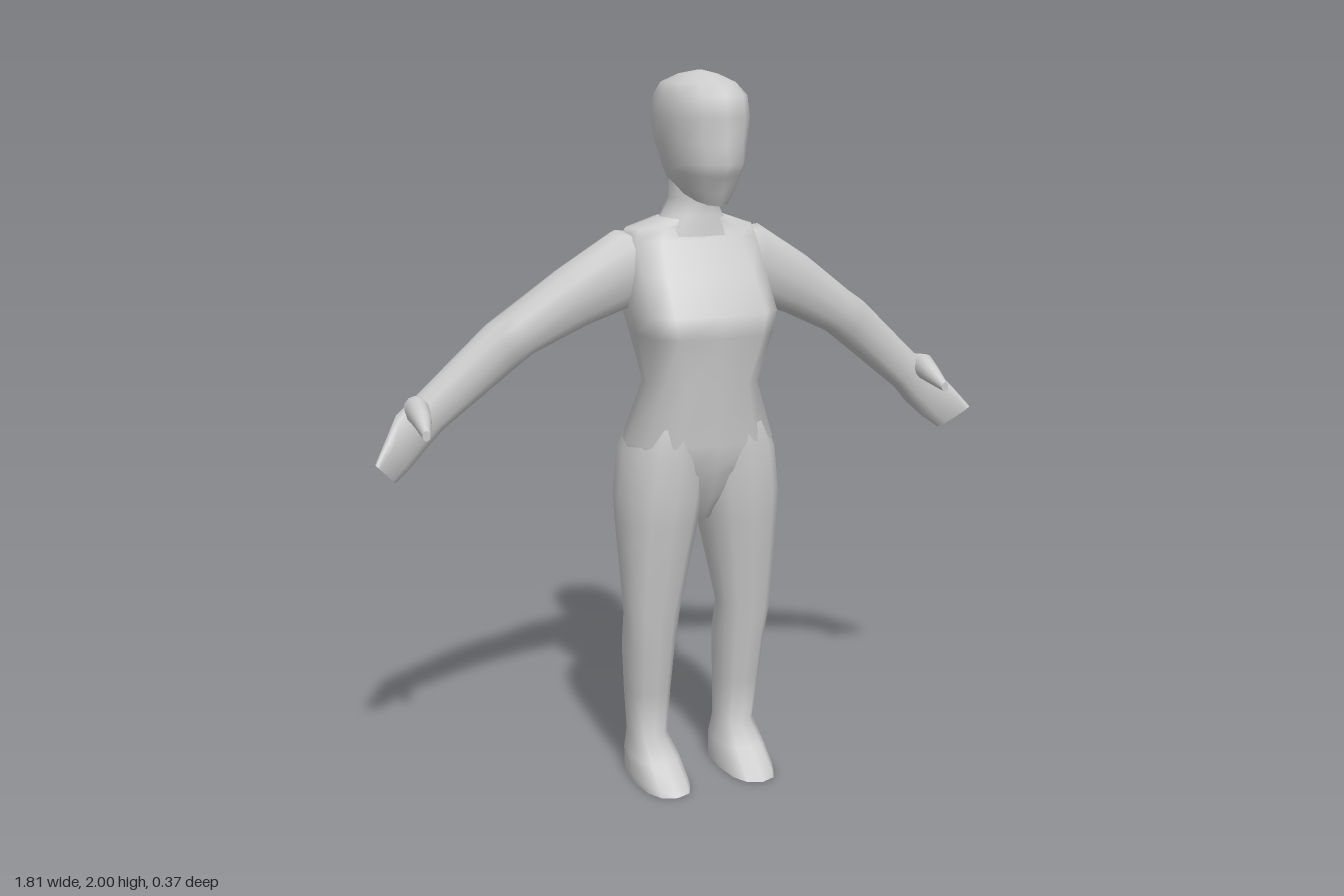
import * as THREE from 'three';

const SIDES = 12;
const material = new THREE.MeshStandardMaterial({ color: 0xcccccc });

// Skin a list of rings { c: centre, u, v: half axes, p: roundness } running along u x v.
function loft(name, rings, mirror = 1) {
  const pos = [], index = [];
  const tri = (a, b, c) => (mirror > 0 ? index.push(a, b, c) : index.push(a, c, b));
  const soften = (s, p) => Math.sign(s) * Math.pow(Math.abs(s) < 1e-6 ? 0 : Math.abs(s), p);
  const addRing = ({ c, u, v, p = 1 }) => {
    for (let j = 0; j < SIDES; j++) {
      const t = (j / SIDES) * Math.PI * 2;
      const a = soften(Math.cos(t), p), b = soften(Math.sin(t), p);
      const q = [0, 1, 2].map((k) => c[k] + u[k] * a + v[k] * b);
      pos.push(q[0] * mirror, q[1], q[2]);
    }
  };
  rings.forEach(addRing);
  for (let i = 0; i < rings.length - 1; i++) {
    for (let j = 0; j < SIDES; j++) {
      const k = (j + 1) % SIDES;
      const a = i * SIDES + j, b = i * SIDES + k, c = b + SIDES, d = a + SIDES;
      tri(a, b, c);
      tri(a, c, d);
    }
  }
  // Separate end caps keep a crisp rim
  [rings[0], rings[rings.length - 1]].forEach((ring, end) => {
    const start = pos.length / 3;
    addRing(ring);
    pos.push(ring.c[0] * mirror, ring.c[1], ring.c[2]);
    for (let j = 0; j < SIDES; j++) {
      const a = start + j, b = start + ((j + 1) % SIDES);
      if (end) tri(a, b, start + SIDES);
      else tri(b, a, start + SIDES);
    }
  });
  const geometry = new THREE.BufferGeometry();
  geometry.setAttribute('position', new THREE.Float32BufferAttribute(pos, 3));
  geometry.setIndex(index);
  geometry.computeVertexNormals();
  const mesh = new THREE.Mesh(geometry, material);
  mesh.name = name;
  return mesh;
}

// Level ring: height, x range, back and front z, roundness, rise of the back edge
const level = (y, x0, x1, back, front, p = 1, rise = 0) => ({
  c: [(x0 + x1) / 2, y, (back + front) / 2],
  u: [(x1 - x0) / 2, 0, 0],
  v: [0, rise, (back - front) / 2],
  p,
});
const centred = (y, w, ...rest) => level(y, -w, w, ...rest);

// Limb ring: centre, in-plane axis (towards the upper edge), half depth
const limb = (c, u, depth, p = 0.85) => ({ c, u, v: [0, 0, depth], p });

export function createModel() {
  const body = new THREE.Group();
  body.name = 'body';

  // Torso from groin to collar
  body.add(loft('torso', [
    centred(0.77, 0.03, -0.07, 0.03),
    centred(0.83, 0.09, -0.12, 0.07),
    centred(0.92, 0.18, -0.155, 0.108, 0.85),
    centred(1.0, 0.216, -0.165, 0.124, 0.8),
    centred(1.16, 0.155, -0.135, 0.13, 0.75),
    centred(1.3, 0.186, -0.155, 0.157, 0.6),
    centred(1.36, 0.2, -0.17, 0.158, 0.58),
    centred(1.46, 0.2, -0.178, 0.085, 0.65),
    centred(1.55, 0.2, -0.172, 0.022, 0.8),
    centred(1.58, 0.19, -0.16, 0.008, 0.9),
    centred(1.61, 0.1, -0.14, 0.01),
  ]));

  // Neck
  body.add(loft('neck', [
    centred(1.56, 0.13, -0.15, 0.025),
    centred(1.615, 0.088, -0.135, 0.018),
    centred(1.66, 0.065, -0.128, 0.012),
    centred(1.76, 0.07, -0.13, 0.03),
  ]));

  // Head with a jutting jaw and a slight nose
  body.add(loft('head', [
    centred(1.675, 0.052, -0.1, 0.128, 0.85, 0.025),
    centred(1.705, 0.078, -0.128, 0.146, 0.9, 0.02),
    centred(1.74, 0.094, -0.142, 0.162, 0.95, 0.012),
    centred(1.765, 0.101, -0.152, 0.186, 1, 0.006),
    centred(1.81, 0.113, -0.165, 0.173),
    centred(1.88, 0.12, -0.174, 0.175, 0.95),
    centred(1.935, 0.113, -0.17, 0.168, 0.95),
    centred(1.968, 0.094, -0.14, 0.115),
    centred(1.99, 0.05, -0.075, 0.05),
    centred(2.0, 0.006, -0.01, 0.006),
  ]));

  for (const [side, m] of [['left', 1], ['right', -1]]) {
    // Upper arm, elbow, forearm and mitten hand
    body.add(loft(side + 'Arm', [
      limb([0.13, 1.47, -0.085], [0.02, 0.1, 0], 0.075),
      limb([0.2, 1.468, -0.085], [0.015, 0.108, 0], 0.082),
      limb([0.34, 1.397, -0.095], [0.035, 0.079, 0], 0.072),
      limb([0.485, 1.31, -0.115], [0.032, 0.06, 0], 0.072),
      limb([0.53, 1.278, -0.118], [0.038, 0.058, 0], 0.066),
      limb([0.735, 1.105, -0.132], [0.036, 0.046, 0], 0.046),
      limb([0.785, 1.06, -0.128], [0.04, 0.052, 0.01], 0.044),
      limb([0.83, 1.01, -0.098], [0.036, 0.048, 0.022], 0.03),
      limb([0.872, 0.966, -0.072], [0.034, 0.036, 0.033], 0.014, 0.7),
    ], m));

    // Thumb pointing forward
    const thumbRing = (x, y, z, w, h) => ({ c: [x, y, z], u: [w, 0, 0], v: [0, h, 0] });
    body.add(loft(side + 'Thumb', [
      thumbRing(0.768, 1.115, -0.14, 0.034, 0.04),
      thumbRing(0.775, 1.123, -0.085, 0.032, 0.038),
      thumbRing(0.776, 1.105, -0.035, 0.024, 0.028),
      thumbRing(0.782, 1.08, 0.02, 0.011, 0.014),
    ], m));

    // Foot and leg, sole to hip
    body.add(loft(side + 'Leg', [
      level(0, 0.06, 0.206, -0.152, 0.148, 0.8),
      level(0.018, 0.06, 0.207, -0.153, 0.13, 0.8),
      level(0.07, 0.066, 0.202, -0.152, 0.062, 0.8),
      level(0.125, 0.082, 0.192, -0.138, -0.008, 0.85),
      level(0.26, 0.077, 0.203, -0.135, 0.013, 0.85),
      level(0.39, 0.07, 0.212, -0.13, 0.035, 0.85),
      level(0.5, 0.064, 0.221, -0.087, 0.052, 0.85),
      level(0.65, 0.036, 0.228, -0.122, 0.078, 0.85),
      level(0.77, 0.012, 0.234, -0.15, 0.097, 0.85),
      level(0.84, 0, 0.235, -0.165, 0.107, 0.85),
      level(0.97, -0.01, 0.219, -0.18, 0.117, 0.85),
      level(1.05, 0.0, 0.185, -0.15, 0.11, 0.9),
    ], m));
  }
  return body;
}
